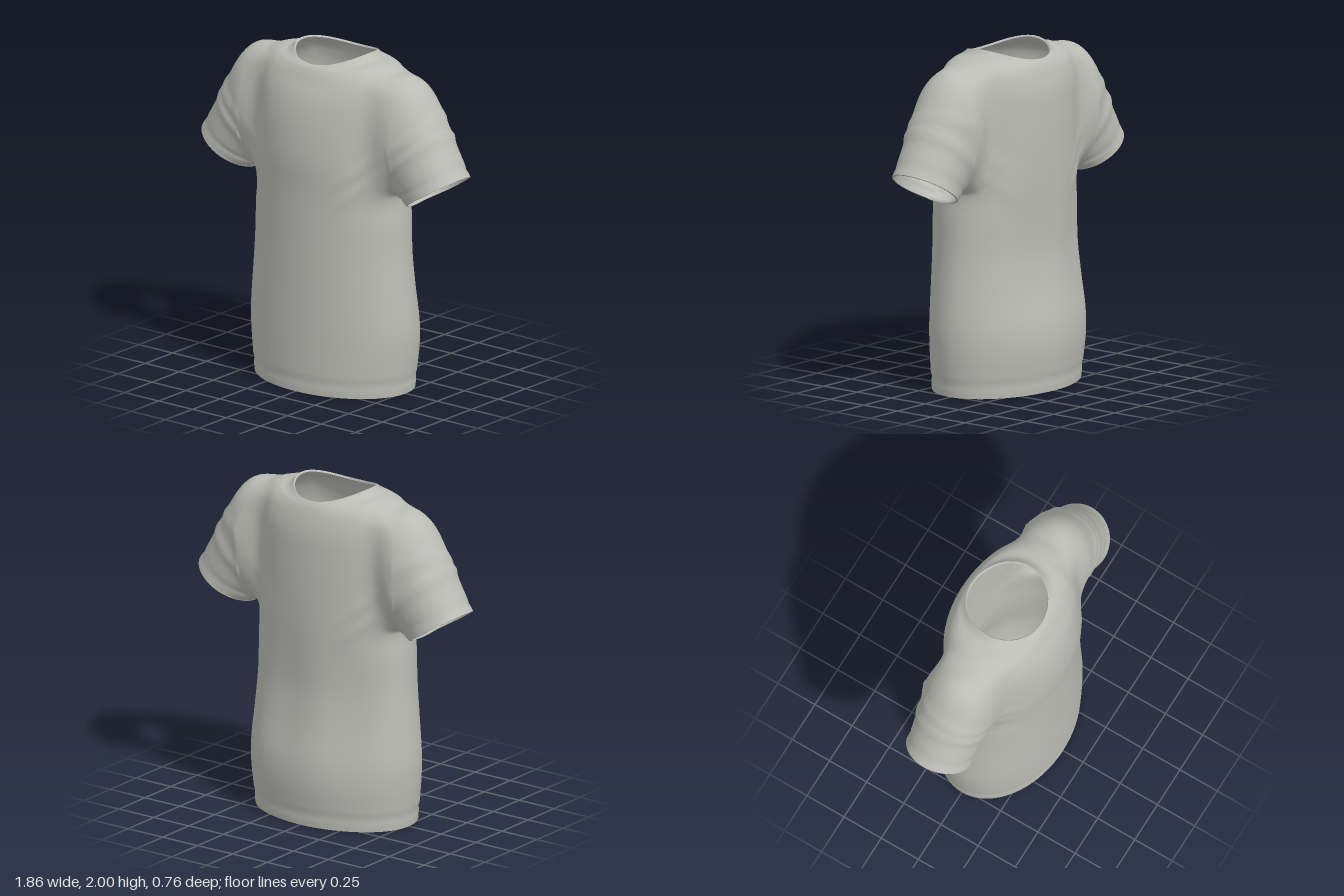
import * as THREE from 'three';

const N = 72, SUB = 5, HALF = 7, ARM0 = 7 * SUB, ARM1 = 11 * SUB, THICK = 0.012;

// torso rings: half width, front z, back z, height at centre, height at sides
const RINGS = [
  [0.52, 0.365, -0.35, 0, 0], [0.53, 0.368, -0.36, 0.1, 0.1], [0.545, 0.368, -0.376, 0.25, 0.25],
  [0.548, 0.368, -0.368, 0.4, 0.4], [0.532, 0.367, -0.33, 0.6, 0.6], [0.515, 0.367, -0.307, 0.8, 0.8],
  [0.507, 0.368, -0.31, 1.0, 1.0], [0.5, 0.372, -0.32, 1.2, 1.2], [0.49, 0.383, -0.325, 1.4, 1.4],
  [0.49, 0.368, -0.325, 1.6, 1.6], [0.485, 0.335, -0.32, 1.75, 1.8], [0.45, 0.29, -0.298, 1.85, 1.92],
  [0.37, 0.262, -0.278, 1.905, 1.957], [0.29, 0.243, -0.262, 1.93, 1.965], [0.245, 0.22, -0.25, 1.94, 2.0],
];
// sleeve sections: top x, top y, underside x, underside y, half depth
const SLEEVE = [
  [0.55, 1.93, 0.515, 1.185, 0.232], [0.645, 1.865, 0.53, 1.168, 0.217], [0.735, 1.72, 0.545, 1.165, 0.208],
  [0.83, 1.545, 0.56, 1.16, 0.204], [0.93, 1.375, 0.58, 1.155, 0.2],
];

// smooth interpolation through rows of numbers
function sample(rows, t) {
  const i = Math.min(Math.floor(t), rows.length - 2), f = t - i;
  const at = k => rows[Math.max(0, Math.min(rows.length - 1, k))];
  return rows[i].map((p1, c) => {
    const p0 = at(i - 1)[c], p2 = at(i + 1)[c], p3 = at(i + 2)[c];
    return p1 + 0.5 * f * (p2 - p0 + f * (2 * p0 - 5 * p1 + 4 * p2 - p3 + f * (3 * (p1 - p2) + p3 - p0)));
  });
}

const bump = (v, centre, width) => Math.exp(-(((v - centre) / width) ** 2));

// cloth folds and stitched hems, as a shift along the normal
function fold(x, y, z) {
  const ax = Math.abs(x);
  const d = 0.51 * (ax - 0.755) - 0.86 * (y - 1.265); // distance past the sleeve opening
  let h = -0.006 * bump(y, 0.07, 0.015);
  if (ax > 0.55 && y > 1.1) {
    h -= 0.005 * bump(d, -0.06, 0.015);
    h += 0.011 * bump(d + 0.25 * (ax - 0.7), -0.25, 0.03) + 0.008 * bump(d - 0.2 * z, -0.36, 0.03);
  }
  // diagonal pulls from the underarm
  const across = (y - 1.4) - 0.85 * (ax - 0.4);
  h += 0.009 * bump(ax, 0.36, 0.11) * (bump(across, 0, 0.03) + bump(across, -0.12, 0.03)) * (y > 1.05 ? 1 : 0);
  // soft hanging folds on the back
  if (z < 0) h += 0.007 * Math.cos(15 * x + 1.2) * bump(y, 0.75, 0.5) * Math.min(1, -z / 0.2);
  return h;
}

function buildCloth() {
  const pos = [], index = [], loops = {};
  const quad = (a, b, c, d, flip) => flip ? index.push(a, c, b, b, c, d) : index.push(a, b, c, b, d, c);
  const rows = (RINGS.length - 1) * SUB;
  const id = (i, j) => j * N + ((i + N) % N);

  // torso, left open at both armholes
  for (let j = 0; j <= rows; j++) {
    const [rx, zf, zb, yc, ys] = sample(RINGS, j / SUB);
    for (let i = 0; i < N; i++) {
      const a = i / N * Math.PI * 2, c = Math.cos(a), s = Math.sin(a);
      pos.push([rx * c, yc + (ys - yc) * c * c, s > 0 ? zf * s : -zb * s]);
    }
  }
  for (let j = 0; j < rows; j++) for (let i = 0; i < N; i++) {
    const k = (i + HALF) % (N / 2);
    if (j >= ARM0 && j < ARM1 && k < 2 * HALF) continue;
    quad(id(i, j), id(i + 1, j), id(i, j + 1), id(i + 1, j + 1), true);
  }
  loops.hem = Array.from({ length: N }, (_, i) => id(i, 0));
  loops.neck = Array.from({ length: N }, (_, i) => id(i, rows));

  // sleeves, grown out of the armhole edges
  const edge = [];
  for (let i = -HALF; i < HALF; i++) edge.push([i, ARM1]);
  for (let j = ARM1; j > ARM0; j--) edge.push([HALF, j]);
  for (let i = HALF; i > -HALF; i--) edge.push([i, ARM0]);
  for (let j = ARM0; j < ARM1; j++) edge.push([-HALF, j]);
  for (const side of [1, -1]) {
    let previous = edge.map(([i, j]) => id(side > 0 ? i : N / 2 - i, j));
    const start = previous.map(v => pos[v]);
    const paths = start.map(p => {
      const a = Math.atan2(p[2] / 0.22, (p[1] - 1.56) / 0.37), c = Math.cos(a), s = Math.sin(a);
      return [p, ...SLEEVE.map(([tx, ty, bx, by, r]) =>
        [side * ((tx + bx) / 2 + (tx - bx) / 2 * c), (ty + by) / 2 + (ty - by) / 2 * c, r * s - 0.005])];
    });
    const steps = SLEEVE.length * 6;
    for (let r = 1; r <= steps; r++) {
      const ring = paths.map(path => pos.push(sample(path, r / 6)) - 1);
      ring.forEach((v, k) => {
        const n = (k + 1) % ring.length;
        quad(previous[k], previous[n], v, ring[n], side < 0);
      });
      previous = ring;
    }
    loops[side > 0 ? 'leftSleeve' : 'rightSleeve'] = previous;
  }

  // relax the shoulders and underarms
  const near = pos.map(() => new Set());
  for (let t = 0; t < index.length; t += 3) for (let e = 0; e < 3; e++) {
    const a = index[t + e], b = index[t + (e + 1) % 3];
    near[a].add(b); near[b].add(a);
  }
  const fixed = new Set(Object.values(loops).flat());
  for (let pass = 0; pass < 10; pass++) {
    const old = pos.map(p => p.slice());
    old.forEach((p, v) => {
      if (fixed.has(v) || Math.abs(p[0]) < 0.33 || p[1] < 1.08) return;
      const list = [...near[v]];
      for (let c = 0; c < 3; c++) {
        const mean = list.reduce((sum, n) => sum + old[n][c], 0) / list.length;
        pos[v][c] = p[c] + 0.5 * (mean - p[c]);
      }
    });
  }

  const geometry = new THREE.BufferGeometry();
  geometry.setAttribute('position', new THREE.Float32BufferAttribute(pos.flat(), 3));
  geometry.setIndex(index);
  geometry.computeVertexNormals();
  return { geometry: shifted(geometry, fold), loops };
}

// copy of a surface moved along its normals
function shifted(source, amount) {
  const g = source.clone(), p = g.attributes.position, n = source.attributes.normal;
  const v = new THREE.Vector3(), m = new THREE.Vector3();
  for (let i = 0; i < p.count; i++) {
    v.fromBufferAttribute(p, i);
    m.fromBufferAttribute(n, i);
    v.addScaledVector(m, amount(v.x, v.y, v.z));
    p.setXYZ(i, v.x, v.y, v.z);
  }
  g.computeVertexNormals();
  return g;
}

// flat band joining the outer and inner cloth along an opening
function rim(outer, inner, loop) {
  const pos = [], index = [], n = loop.length;
  for (const g of [outer, inner]) for (const v of loop) {
    const p = g.attributes.position;
    pos.push(p.getX(v), p.getY(v), p.getZ(v));
  }
  for (let k = 0; k < n; k++) {
    const m = (k + 1) % n;
    index.push(k, m, n + k, m, n + m, n + k);
  }
  const g = new THREE.BufferGeometry();
  g.setAttribute('position', new THREE.Float32BufferAttribute(pos, 3));
  g.setIndex(index);
  g.computeVertexNormals();
  return g;
}

export function createModel() {
  const model = new THREE.Group();
  model.name = 'shirt';
  const cloth = new THREE.MeshStandardMaterial({ color: 0xbcbcb6, side: THREE.DoubleSide });
  cloth.name = 'greyCloth';
  const add = (name, geometry) => {
    const mesh = new THREE.Mesh(geometry, cloth);
    mesh.name = name;
    model.add(mesh);
  };

  const { geometry: outer, loops } = buildCloth();
  const inner = shifted(outer, () => -THICK);
  add('outerCloth', outer);
  for (const [name, loop] of Object.entries(loops)) add(name + 'Rim', rim(outer, inner, loop));

  // inner lining faces inward
  inner.setIndex(Array.from(inner.index.array).reverse());
  inner.computeVertexNormals();
  add('innerCloth', inner);
  return model;
}
